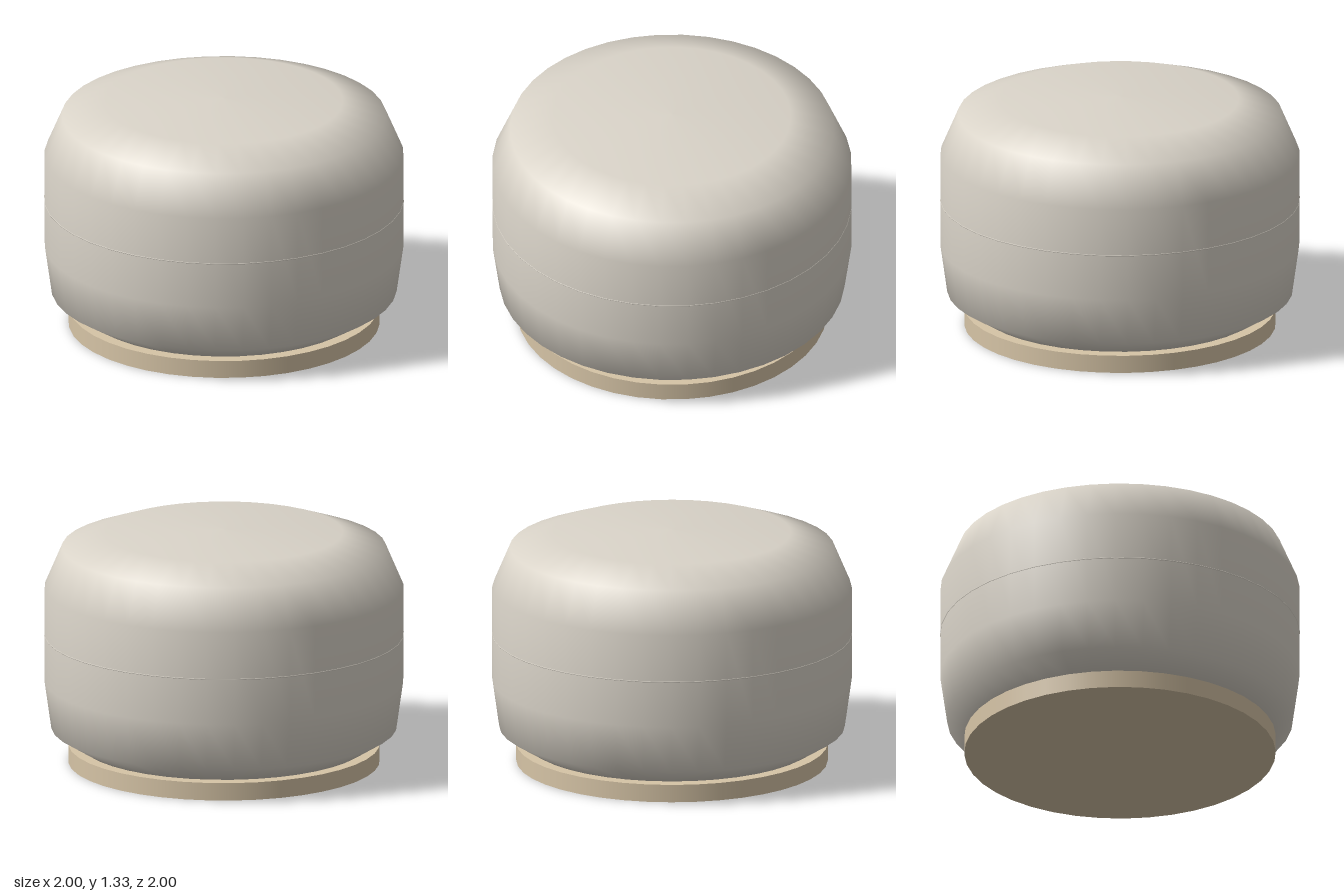
import * as THREE from 'three';

const SEGMENTS = 40;

export function createModel() {
  const group = new THREE.Group();
  const fabric = new THREE.MeshStandardMaterial({ color: 0xd9d3c8 });
  const wood = new THREE.MeshStandardMaterial({ color: 0xd6c4a6 });

  const add = (name, geometry, material, y = 0) => {
    const mesh = new THREE.Mesh(geometry, material);
    mesh.name = name;
    mesh.position.y = y;
    group.add(mesh);
    return mesh;
  };

  // Low round plinth
  add('base', new THREE.CylinderGeometry(0.865, 0.865, 0.1, SEGMENTS), wood, 0.05);

  // Padded cushion body, turned from bottom centre to crown
  const profile = [
    [0, 0.102], [0.8, 0.102], [0.96, 0.2], [0.998, 0.47],
    [0.998, 1.0], [0.9, 1.23], [0.66, 1.315], [0, 1.33],
  ].map(([r, y]) => new THREE.Vector2(r, y));
  add('cushion', new THREE.LatheGeometry(profile, SEGMENTS), fabric);

  // Thin piping around the middle
  const seam = new THREE.TorusGeometry(0.995, 0.005, 6, SEGMENTS);
  seam.rotateX(Math.PI / 2);
  add('seam', seam, fabric, 0.73);

  return group;
}
